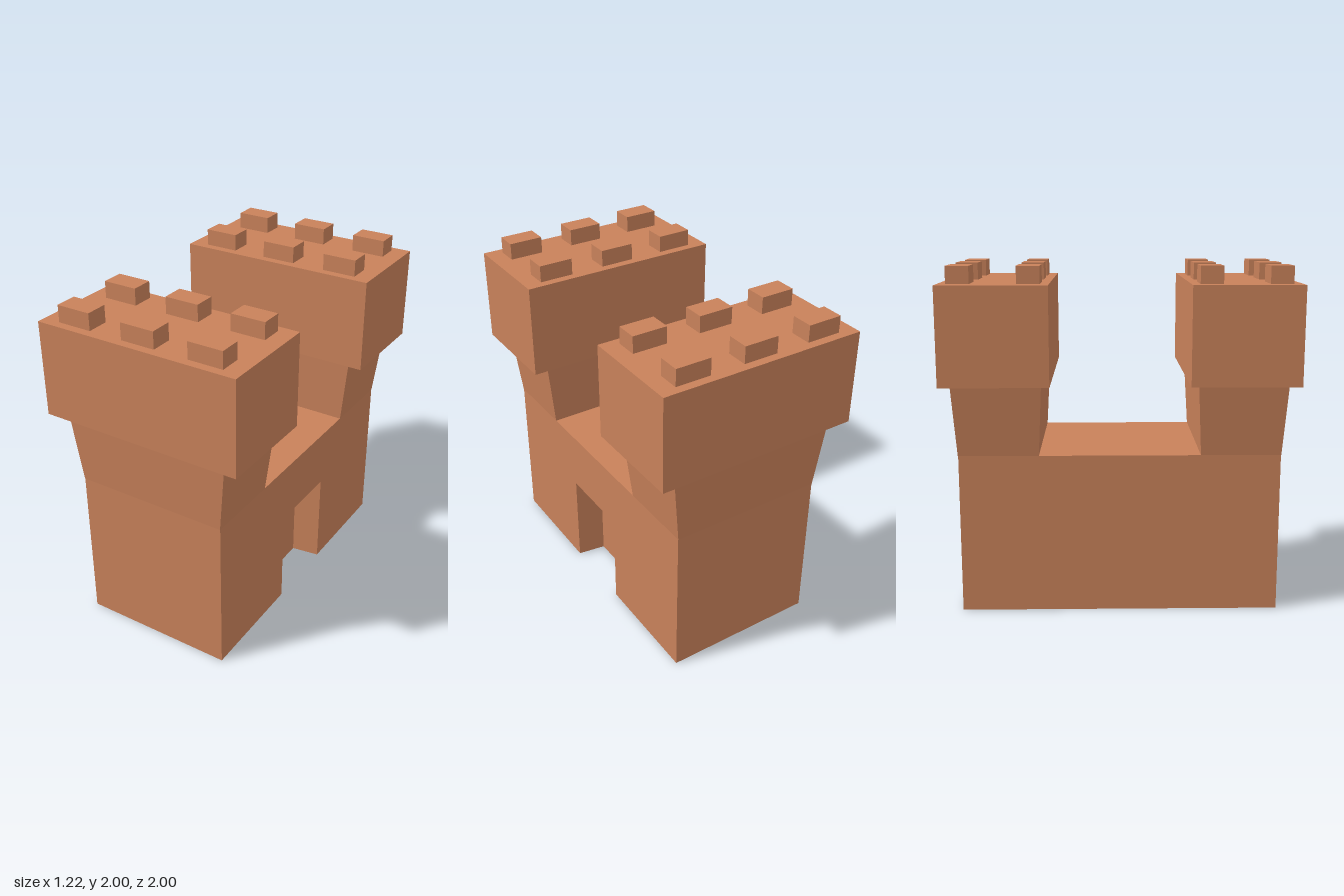
import * as THREE from 'three';

const material = new THREE.MeshStandardMaterial({ color: 0xc8815a, flatShading: true });

// Axis-aligned block given by its limits on each axis
function block(name, [x0, x1], [y0, y1], [z0, z1]) {
  const geometry = new THREE.BoxGeometry(x1 - x0, y1 - y0, z1 - z0);
  geometry.translate((x0 + x1) / 2, (y0 + y1) / 2, (z0 + z1) / 2);
  const mesh = new THREE.Mesh(geometry, material);
  mesh.name = name;
  return mesh;
}

// Gatehouse wall slab: an arch-shaped outline whose opening narrows inwards
function doorWall(x0, x1) {
  const shape = new THREE.Shape();
  [[-0.92, 0], [-0.235, 0], [-0.235, 0.58], [0.235, 0.58], [0.235, 0], [0.92, 0], [0.92, 0.93], [-0.92, 0.93]]
    .forEach(([u, v], i) => (i ? shape.lineTo(u, v) : shape.moveTo(u, v)));
  const geometry = new THREE.ExtrudeGeometry(shape, { depth: x1 - x0, bevelEnabled: false });
  const p = geometry.attributes.position;
  for (let i = 0; i < p.count; i++) {
    if (p.getZ(i) < 0.01 && Math.abs(p.getX(i)) < 0.3) {
      p.setX(i, p.getX(i) * 0.9);
      p.setY(i, p.getY(i) * 0.97);
    }
  }
  geometry.rotateY(Math.PI / 2).translate(x0, 0, 0);
  geometry.computeVertexNormals();
  const mesh = new THREE.Mesh(geometry, material);
  mesh.name = 'doorWall';
  return mesh;
}

// Tower neck that flares out towards the top
function neck() {
  const mesh = block('towerNeck', [-0.46, 0.46], [0.93, 1.35], [0.462, 0.922]);
  const p = mesh.geometry.attributes.position;
  for (let i = 0; i < p.count; i++) {
    if (p.getY(i) > 1.2) {
      p.setX(i, Math.sign(p.getX(i)) * 0.507);
      p.setZ(i, p.getZ(i) < 0.7 ? 0.44 : 0.948);
    }
  }
  mesh.geometry.computeVertexNormals();
  return mesh;
}

// Tower: neck, overhanging head and two rows of battlements
function tower(name) {
  const group = new THREE.Group();
  group.name = name;
  group.add(neck(), block('towerHead', [-0.61, 0.61], [1.347, 1.902], [0.388, 1]));
  for (const x of [-0.406, 0, 0.406]) {
    for (const z of [0.502, 0.886]) {
      group.add(block('battlement', [x - 0.102, x + 0.102], [1.9, 2], [z - 0.064, z + 0.064]));
    }
  }
  return group;
}

export function createModel() {
  const model = new THREE.Group();
  model.name = 'castleGate';

  // Main body with a door recess on its left side
  model.add(block('body', [-0.46, 0.292], [0, 0.93], [-0.92, 0.92]), doorWall(0.292, 0.46));

  // Matching towers at both ends
  const back = tower('backTower');
  back.rotation.y = Math.PI;
  model.add(tower('frontTower'), back);
  return model;
}
